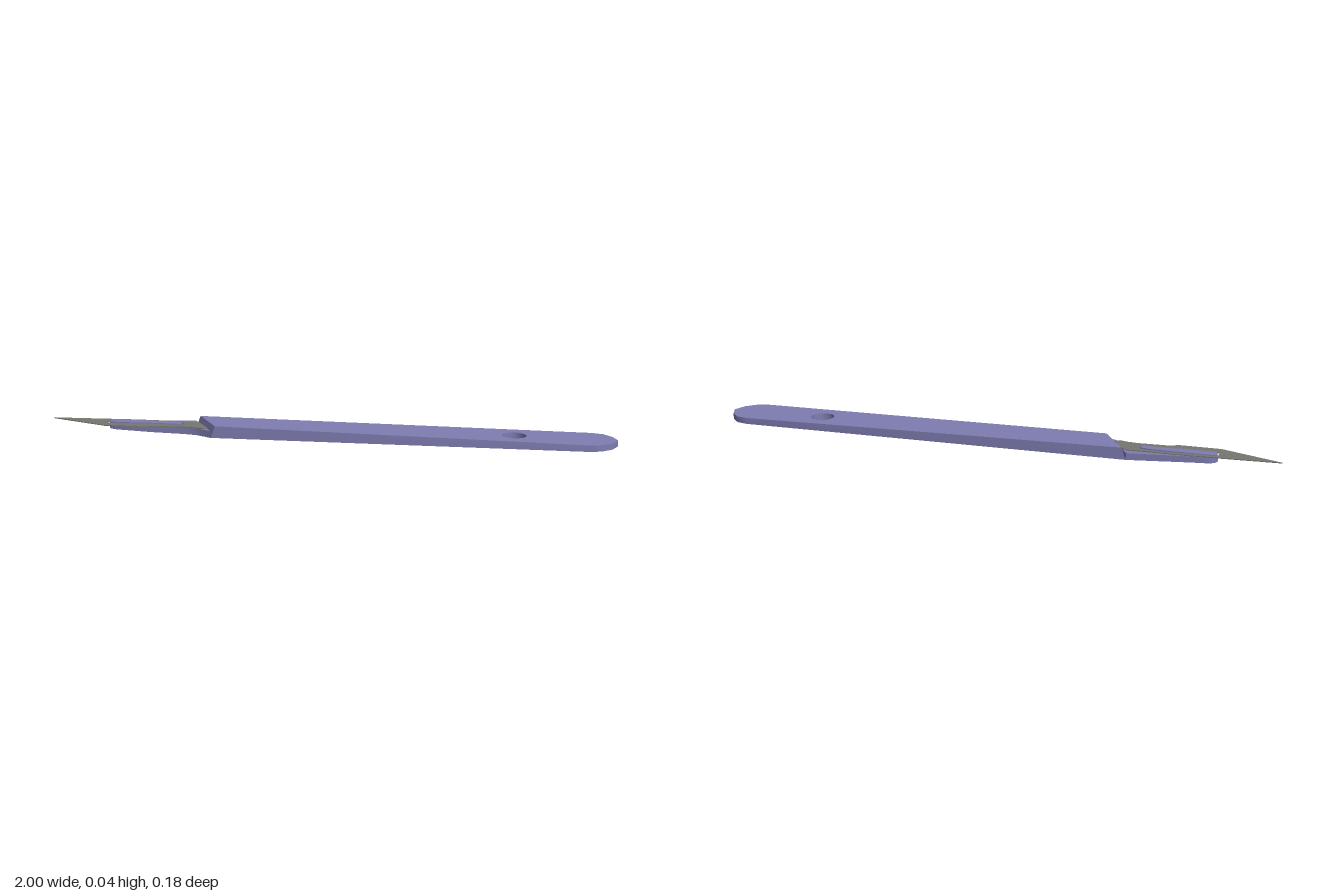
import * as THREE from 'three';
import { toCreasedNormals } from 'three/addons/utils/BufferGeometryUtils.js';

const lerp = THREE.MathUtils.mapLinear;
const toPoints = (pts) => pts.map(([x, z]) => new THREE.Vector2(x, z));

// Plan outline in x/z raised into a slab whose underside and top follow functions of x.
// shift(x) moves the top edge lengthwise to slope an end face.
function slab(outline, holes, bottom, top, shift = () => 0) {
  const shape = new THREE.Shape(toPoints(outline));
  shape.holes = holes;
  const geo = new THREE.ExtrudeGeometry(shape, { depth: 1, bevelEnabled: false, curveSegments: 28 });
  geo.rotateX(Math.PI / 2);
  const p = geo.attributes.position;
  for (let i = 0; i < p.count; i++) {
    const isTop = p.getY(i) > -0.5;
    const x = p.getX(i) + (isTop ? shift(p.getX(i)) : 0);
    p.setXYZ(i, x, isTop ? top(x) : bottom(x), p.getZ(i));
  }
  return toCreasedNormals(geo, 0.6);
}

export function createModel() {
  const group = new THREE.Group();
  const plastic = new THREE.MeshStandardMaterial({ color: 0x7f7db2 });
  const steel = new THREE.MeshStandardMaterial({ color: 0x777772 });
  const add = (name, geo, material) => {
    const mesh = new THREE.Mesh(geo, material);
    mesh.name = name;
    group.add(mesh);
  };
  const underside = (x) => (x > -0.4 ? lerp(x, -0.4, 1, 0, 0.007) : lerp(x, -0.78, -0.4, 0.005, 0));

  // Tapering handle with a rounded end, hanging hole and slanted shoulder
  const hole = new THREE.Path().absarc(0.65, 0, 0.042, 0, Math.PI * 2, true);
  add('handle', slab([
    [-0.484, -0.066], [0.91, -0.09], [0.95, -0.08], [0.982, -0.046], [1, 0],
    [0.982, 0.046], [0.95, 0.076], [0.915, 0.09], [-0.398, 0.078],
  ], [hole], underside, (x) => lerp(x, -0.47, 1, 0.043, 0.028), (x) => (x < -0.3 ? 0.016 : 0)), plastic);

  // Narrow tang carrying the blade
  add('tang', slab([
    [-0.484, -0.066], [-0.398, 0.078], [-0.425, 0.064], [-0.455, 0.05], [-0.5, 0.043],
    [-0.62, 0.04], [-0.75, 0.027], [-0.775, 0.018], [-0.785, 0], [-0.778, -0.02], [-0.76, -0.03], [-0.7, -0.036],
  ], [], underside, () => 0.025), plastic);

  // Raised rib that locks into the slot of the blade
  const rib = [[-0.78, -0.01], [-0.76, -0.016], [-0.55, -0.016], [-0.52, -0.006],
    [-0.52, 0.016], [-0.64, 0.016], [-0.66, 0.021], [-0.77, 0.021], [-0.78, 0.015]];
  add('lockingRib', slab(rib, [], () => 0.022, () => 0.031), plastic);

  // Thin pointed blade with a slot around the rib
  const slot = new THREE.Path(toPoints([[-0.786, -0.014], [-0.764, -0.019], [-0.548, -0.019],
    [-0.515, -0.008], [-0.515, 0.019], [-0.64, 0.019], [-0.66, 0.024], [-0.786, 0.024]]));
  add('blade', slab([
    [-1, -0.02], [-0.7, -0.036], [-0.468, -0.036], [-0.418, 0.045], [-0.435, 0.058], [-0.465, 0.049],
    [-0.5, 0.045], [-0.615, 0.05], [-0.637, 0.065], [-0.785, 0.065],
  ], [slot], () => 0.0255, () => 0.0285), steel);

  return group;
}
